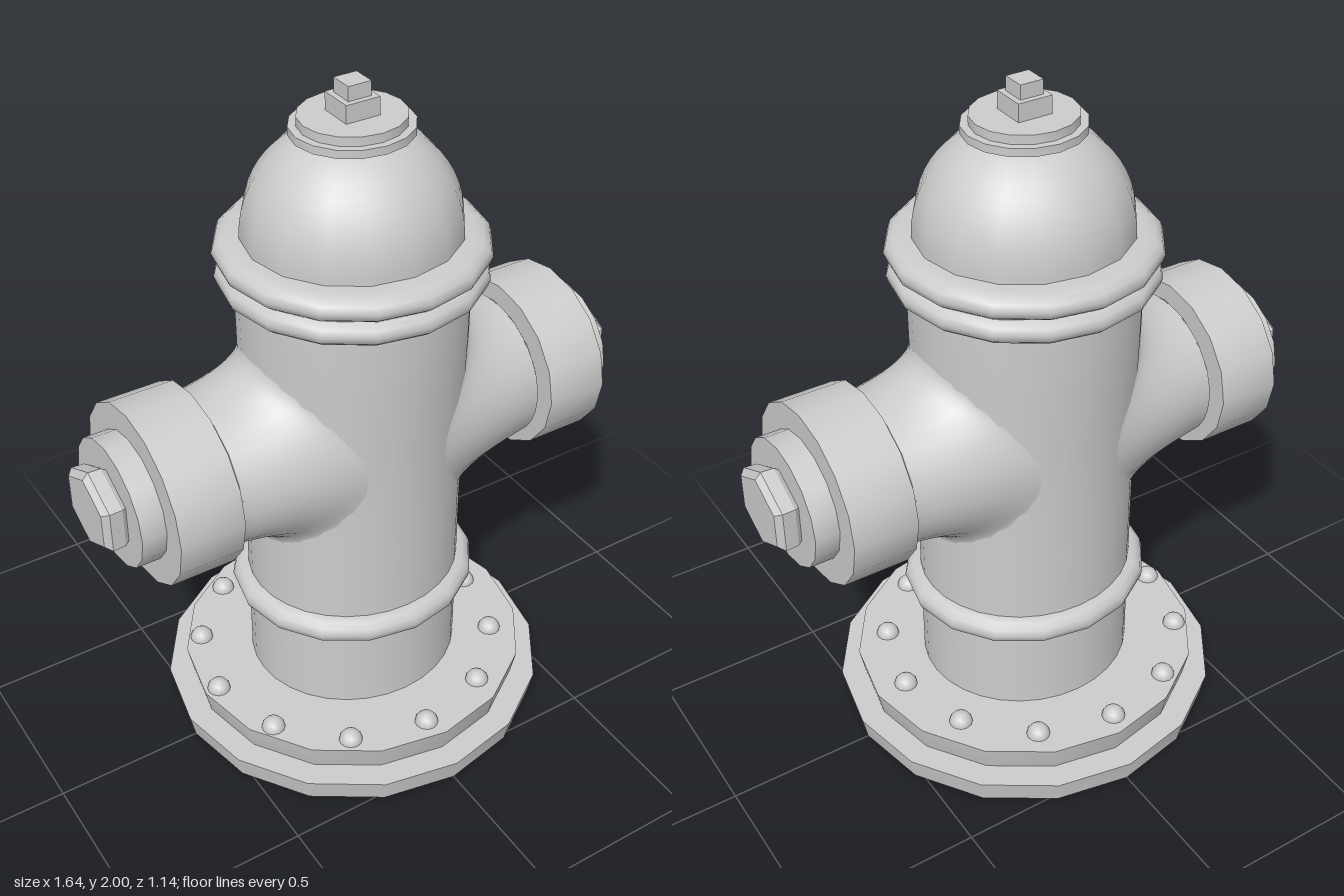
import * as THREE from 'three';
import { toCreasedNormals } from 'three/addons/utils/BufferGeometryUtils.js';

const material = new THREE.MeshStandardMaterial({ color: 0xcccccc });
const ARM_Y = 0.985;
const BODY_R = 0.318;

// Body is round at the top and slightly flattened in depth lower down
const depthScale = (y) => 0.94 + 0.065 * THREE.MathUtils.smoothstep(y, 0.8, 1.43);

function mesh(name, geometry) {
  const m = new THREE.Mesh(geometry, material);
  m.name = name;
  return m;
}

// Turned part from [radius, height] pairs, listed from bottom to top
function turned(name, profile, { sides = 16, crease = 0.6, depth = 1 } = {}) {
  const points = profile.map(([r, y]) => new THREE.Vector2(r, y));
  const geometry = new THREE.LatheGeometry(points, sides).scale(1, 1, depth);
  return mesh(name, toCreasedNormals(geometry, crease));
}

function box(name, width, y0, y1) {
  const geometry = new THREE.BoxGeometry(width, y1 - y0, width);
  return mesh(name, geometry.translate(0, (y0 + y1) / 2, 0));
}

// Rounded bead running around the barrel
function bead(name, inner, outer, y0, y1, depth) {
  const profile = [[inner - 0.05, y0]];
  for (let i = 0; i <= 6; i++) {
    const a = (i / 6 - 0.5) * Math.PI;
    profile.push([inner + (outer - inner) * Math.cos(a), (y0 + y1) / 2 + ((y1 - y0) / 2) * Math.sin(a)]);
  }
  profile.push([inner - 0.05, y1]);
  return turned(name, profile, { depth, crease: 0.8 });
}

// Barrel with depth varying by height
function barrel() {
  const points = [];
  for (let i = 0; i <= 14; i++) points.push(new THREE.Vector2(BODY_R, 0.14 + (1.32 * i) / 14));
  const geometry = new THREE.LatheGeometry(points, 32);
  const p = geometry.attributes.position;
  for (let i = 0; i < p.count; i++) p.setZ(i, p.getZ(i) * depthScale(p.getY(i)));
  return mesh('barrel', toCreasedNormals(geometry, 0.6));
}

// Side arm that flows out of the barrel through a concave fillet
function armGeometry() {
  const rings = 12, around = 32;
  const positions = [], index = [];
  for (let i = 0; i <= rings; i++) {
    const t = (i / rings) * Math.PI / 2;
    const s = 1 - Math.cos(t);
    const ry = 0.213 + 0.095 * (1 - Math.sin(t));
    const rz = THREE.MathUtils.lerp(0.28, 0.232, s);
    for (let j = 0; j < around; j++) {
      const a = (j / around) * Math.PI * 2;
      const y = ARM_Y + ry * Math.sin(a), z = rz * Math.cos(a);
      const q = Math.min(1, Math.abs(z) / (BODY_R * depthScale(y)));
      const start = BODY_R * Math.sqrt(1 - q * q) - 0.003;
      positions.push(THREE.MathUtils.lerp(start, 0.48, s), y, z);
      if (i === rings) continue;
      const k = (j + 1) % around;
      const p0 = i * around + j, p1 = i * around + k;
      index.push(p0, p0 + around, p1, p1, p0 + around, p1 + around);
    }
  }
  const geometry = new THREE.BufferGeometry();
  geometry.setAttribute('position', new THREE.Float32BufferAttribute(positions, 3));
  geometry.setIndex(index);
  geometry.computeVertexNormals();
  // Share the barrel's normals where the fillet begins
  const p = geometry.attributes.position, n = new THREE.Vector3();
  for (let j = 0; j < around; j++) {
    const d = depthScale(p.getY(j));
    n.set(p.getX(j), 0, p.getZ(j) / (d * d)).normalize();
    geometry.attributes.normal.setXYZ(j, n.x, n.y, n.z);
  }
  return geometry;
}

// Arm, cap and hexagonal nut, pointing along +x
function outlet(name) {
  const group = new THREE.Group();
  group.name = name;
  group.add(mesh('arm', armGeometry()));
  const parts = [
    turned('neck', [[0, 0.47], [0.213, 0.478], [0.213, 0.481], [0.188, 0.481], [0.188, 0.51]], { depth: 1.09 }),
    turned('cap', [[0, 0.498], [0.253, 0.498], [0.253, 0.685], [0, 0.685]], { depth: 1.08 }),
    turned('capPlate', [[0.178, 0.68], [0.178, 0.755], [0, 0.755]], { depth: 1.09 }),
    turned('capNut', [[0.105, 0.75], [0.118, 0.768], [0.12, 0.805], [0.102, 0.822], [0, 0.822]],
      { sides: 6, depth: 1.1, crease: 0.2 }),
  ];
  // Lay the turned parts on their side, a corner of each at the top
  for (const part of parts) {
    if (part.name === 'capNut') {
      part.geometry.scale(1, 1, 1 / 1.1).rotateY(Math.PI / 6).scale(1, 1, 1.13);
      part.geometry.computeVertexNormals();
    }
    part.geometry.rotateZ(-Math.PI / 2).translate(0, ARM_Y + 0.002, 0);
    group.add(part);
  }
  return group;
}

export function createModel() {
  const model = new THREE.Group();
  model.name = 'hydrant';

  // Stepped foot flange
  model.add(
    turned('lowerFlange', [[0, 0], [0.563, 0], [0.577, 0.07], [0, 0.07]], { depth: 0.99 }),
    turned('upperFlange', [[0.5, 0.06], [0.505, 0.075], [0.52, 0.148], [0, 0.148]], { depth: 0.985 }),
  );

  // Ring of round-headed bolts
  const boltGeometry = new THREE.SphereGeometry(0.035, 12, 8);
  const bolts = new THREE.Group();
  bolts.name = 'bolts';
  for (let i = 0; i < 12; i++) {
    const a = (i / 12) * Math.PI * 2;
    const bolt = mesh('bolt', boltGeometry);
    bolt.position.set(-0.025 + 0.45 * Math.sin(a), 0.146, 0.445 * Math.cos(a));
    bolts.add(bolt);
  }
  model.add(bolts);

  // Barrel and its beads
  model.add(
    barrel(),
    bead('lowerBead', 0.32, 0.366, 0.405, 0.485, 0.945),
    bead('collarBead', 0.325, 0.37, 1.435, 1.51, 1),
    bead('rimBead', 0.325, 0.374, 1.505, 1.58, 1),
  );

  // Domed bonnet
  const dome = [[0.3, 1.55], [0.3, 1.59]];
  for (let i = 1; i <= 10; i++) {
    const a = (i / 10) * 1.15;
    dome.push([0.3 * Math.cos(a), 1.59 + 0.3 * Math.sin(a)]);
  }
  dome.push([0, 1.866]);
  model.add(
    turned('bonnet', dome, { depth: 0.975 }),
    turned('bonnetPlate', [[0, 1.862], [0.167, 1.862], [0.167, 1.885], [0.145, 1.885], [0.145, 1.91], [0, 1.91]],
      { depth: 0.96 }),
    box('operatingNutBase', 0.1, 1.9, 1.96),
    box('operatingNut', 0.068, 1.95, 2.0),
  );

  // Outlets on both sides
  const left = outlet('leftOutlet');
  const right = outlet('rightOutlet');
  right.rotation.y = Math.PI;
  model.add(left, right);

  return model;
}
